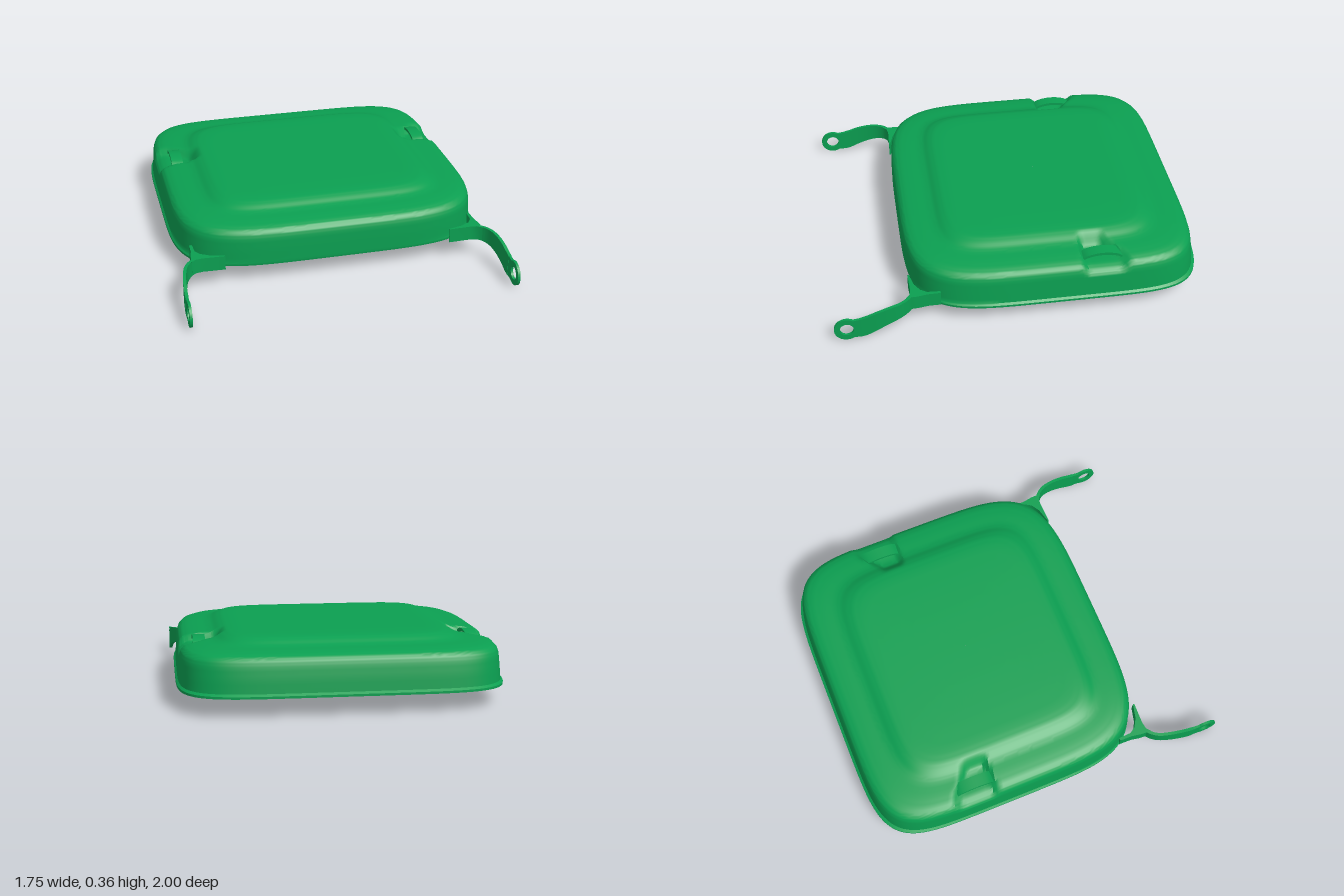
import * as THREE from 'three';
import { toCreasedNormals } from 'three/addons/utils/BufferGeometryUtils.js';

const green = new THREE.MeshStandardMaterial({ color: 0x0b9f51 });
green.name = 'green';

const { smoothstep: smooth, lerp } = THREE.MathUtils;

// Surface through equal-length loops of points; each loop closes on itself
function loft(loops, caps = false) {
  const n = loops[0].length, pos = loops.flat(2), index = [];
  for (let i = 0; i < loops.length - 1; i++) {
    for (let j = 0; j < n; j++) {
      const a = i * n + j, b = i * n + (j + 1) % n, c = a + n, d = b + n;
      index.push(a, c, b, b, c, d);
    }
  }
  if (caps) {
    const e = (loops.length - 1) * n;
    for (let j = 1; j < n - 1; j++) index.push(0, j, j + 1, e, e + j + 1, e + j);
  }
  const g = new THREE.BufferGeometry();
  g.setAttribute('position', new THREE.Float32BufferAttribute(pos, 3));
  g.setIndex(index);
  return g;
}

// Copy reflected in x, with the corner order turned round
function mirrored(geometry) {
  const g = geometry.index ? geometry.toNonIndexed() : geometry.clone();
  const p = g.attributes.position, v = new THREE.Vector3(), w = new THREE.Vector3();
  for (let i = 0; i < p.count; i += 3) {
    v.fromBufferAttribute(p, i + 1);
    w.fromBufferAttribute(p, i + 2);
    p.setX(i, -p.getX(i));
    p.setXYZ(i + 1, -w.x, w.y, w.z);
    p.setXYZ(i + 2, -v.x, v.y, v.z);
  }
  return g;
}

function add(group, name, geometry, crease = 0.6) {
  const mesh = new THREE.Mesh(toCreasedNormals(geometry, crease), green);
  mesh.name = name;
  group.add(mesh);
}

// How deep the side hand recess is at a point of the lid
function recess(x, y, z) {
  const ax = Math.abs(x);
  const back = -0.45 - 0.1 * smooth(ax, 0.62, 0.8);
  return lerp(0.045, 0.033, smooth(ax, 0.68, 0.8)) * smooth(ax, 0.59, 0.66)
    * smooth(z, back - 0.025, back + 0.025) * (1 - smooth(z, -0.35, -0.31)) * smooth(y, 0.22, 0.3);
}

// Outer profile from rim to centre: half width, front z, back z, height
const outer = [
  [0.86, 0.595, -1.0, 0.1], [0.86, 0.597, -1.0, 0.112], [0.85, 0.597, -0.986, 0.122],
  [0.845, 0.597, -0.98, 0.19], [0.84, 0.595, -0.97, 0.255], [0.832, 0.588, -0.962, 0.28],
  [0.815, 0.572, -0.945, 0.298], [0.785, 0.545, -0.915, 0.309], [0.74, 0.5, -0.87, 0.316],
  [0.67, 0.43, -0.8, 0.322], [0.645, 0.405, -0.775, 0.329], [0.615, 0.378, -0.745, 0.345],
  [0.585, 0.35, -0.715, 0.356], [0.54, 0.305, -0.67, 0.361], [0.4, 0.2, -0.55, 0.363],
  [0.2, 0, -0.37, 0.364], [0.001, -0.185, -0.187, 0.364],
];

// Underside profile from the centre of the domed ceiling down to the rim
const inner = [
  [0.001, -0.185, -0.187, 0.347], [0.35, 0.15, -0.5, 0.346], [0.5, 0.27, -0.635, 0.342],
  [0.56, 0.32, -0.69, 0.333], [0.62, 0.38, -0.75, 0.315], [0.68, 0.435, -0.81, 0.299],
  [0.74, 0.495, -0.87, 0.28], [0.78, 0.53, -0.91, 0.258], [0.805, 0.555, -0.935, 0.228],
  [0.822, 0.572, -0.952, 0.18], [0.835, 0.58, -0.968, 0.115], [0.84, 0.582, -0.974, 0.1],
];

// Rounded square outline, a little fuller at the back corners
function ring([hx, zf, zb, y]) {
  const segments = 256, pts = [], hz = (zf - zb) / 2;
  const front = lerp(6, 4.6, smooth(hx, 0.62, 0.8));
  for (let j = 0; j < segments; j++) {
    const a = (j / segments) * Math.PI * 2, c = Math.cos(a), s = Math.sin(a);
    const n = s < 0 ? 6 : front;
    const r = (Math.abs(c / hx) ** n + Math.abs(s / hz) ** n) ** (-1 / n);
    const x = r * c, z = (zf + zb) / 2 + r * s;
    pts.push([x, y - recess(x, y, z), z]);
  }
  return pts;
}

// Rings between the profile points, so that the recess is finely cut
function subdivide(profile) {
  const fine = [];
  profile.forEach((key, i) => {
    const next = profile[i + 1] ?? key, steps = profile[i + 1] ? 3 : 1;
    for (let s = 0; s < steps; s++) fine.push(key.map((k, q) => lerp(k, next[q], s / steps)));
  });
  return fine;
}

// Upright strip along a path of [x, z, low y, high y]
function strip(keys, thickness, samples) {
  const path = new THREE.CatmullRomCurve3(keys.map(k => new THREE.Vector3(k[0], 0, k[1])));
  const edge = new THREE.CatmullRomCurve3(keys.map((k, i) => new THREE.Vector3(i, k[2], k[3])));
  const loops = [];
  for (let i = 0; i <= samples; i++) {
    const t = i / samples, p = path.getPoint(t), d = path.getTangent(t), e = edge.getPoint(t);
    const nx = d.z * thickness / 2, nz = -d.x * thickness / 2;
    loops.push([
      [p.x - nx, e.y, p.z - nz], [p.x - nx, e.z, p.z - nz],
      [p.x + nx, e.z, p.z + nz], [p.x + nx, e.y, p.z + nz],
    ]);
  }
  return loft(loops, true);
}

// Flat eye with a pin hole, standing in the yz plane
function eyeGeometry() {
  const shape = new THREE.Shape();
  shape.moveTo(-0.85, 0.012);
  shape.lineTo(-0.89, 0.01);
  shape.absarc(-0.93, 0.066, 0.066, -0.95, -Math.PI * 1.68, true);
  shape.lineTo(-0.85, 0.128);
  const hole = new THREE.Path();
  hole.absarc(-0.93, 0.066, 0.036, 0, Math.PI * 2, false);
  shape.holes.push(hole);
  const g = new THREE.ExtrudeGeometry(shape, { depth: 0.014, bevelEnabled: false, curveSegments: 24 });
  return g.rotateY(Math.PI / 2).translate(0.858, 0, 0);
}

// Wedge that joins the arm to the lid corner
function bracketGeometry() {
  const shape = new THREE.Shape([
    [0.62, 0.59], [0.74, 0.586], [0.775, 0.592], [0.8, 0.612], [0.797, 0.55], [0.788, 0.5],
    [0.787, 0.43], [0.772, 0.43], [0.768, 0.5], [0.745, 0.535], [0.7, 0.562], [0.62, 0.582],
  ].map(([x, z]) => new THREE.Vector2(x, -z)));
  const g = new THREE.ExtrudeGeometry(shape, { depth: 0.08, bevelEnabled: false });
  return g.rotateX(-Math.PI / 2).translate(0, 0.1, 0);
}

// Small arched strap over the recess
function strapGeometry() {
  const loops = [];
  for (let i = 0; i <= 12; i++) {
    const t = i / 12, z = -0.535 + 0.21 * t, y = 0.298 + 0.028 * Math.sin(Math.PI * t) ** 0.6;
    loops.push([[0.70, y, z], [0.765, y, z], [0.765, y - 0.015, z], [0.70, y - 0.015, z]]);
  }
  return loft(loops, true);
}

export function createModel() {
  const group = new THREE.Group();
  group.name = 'hingedLid';
  add(group, 'lidShell', loft([...subdivide(inner), ...subdivide(outer)].map(ring)), 0.7);

  const arm = strip([
    [0.765, 0.575, 0.1, 0.18], [0.805, 0.602, 0.097, 0.18], [0.835, 0.645, 0.088, 0.177],
    [0.852, 0.705, 0.07, 0.17], [0.861, 0.77, 0.043, 0.154], [0.864, 0.82, 0.02, 0.137],
    [0.865, 0.855, 0.012, 0.127],
  ], 0.017, 28);
  const parts = {
    HingeArm: arm, HingeEye: eyeGeometry(), HingeBracket: bracketGeometry(), RecessStrap: strapGeometry(),
  };
  for (const [name, geometry] of Object.entries(parts)) {
    add(group, 'left' + name, geometry);
    add(group, 'right' + name, mirrored(geometry));
  }
  return group;
}
